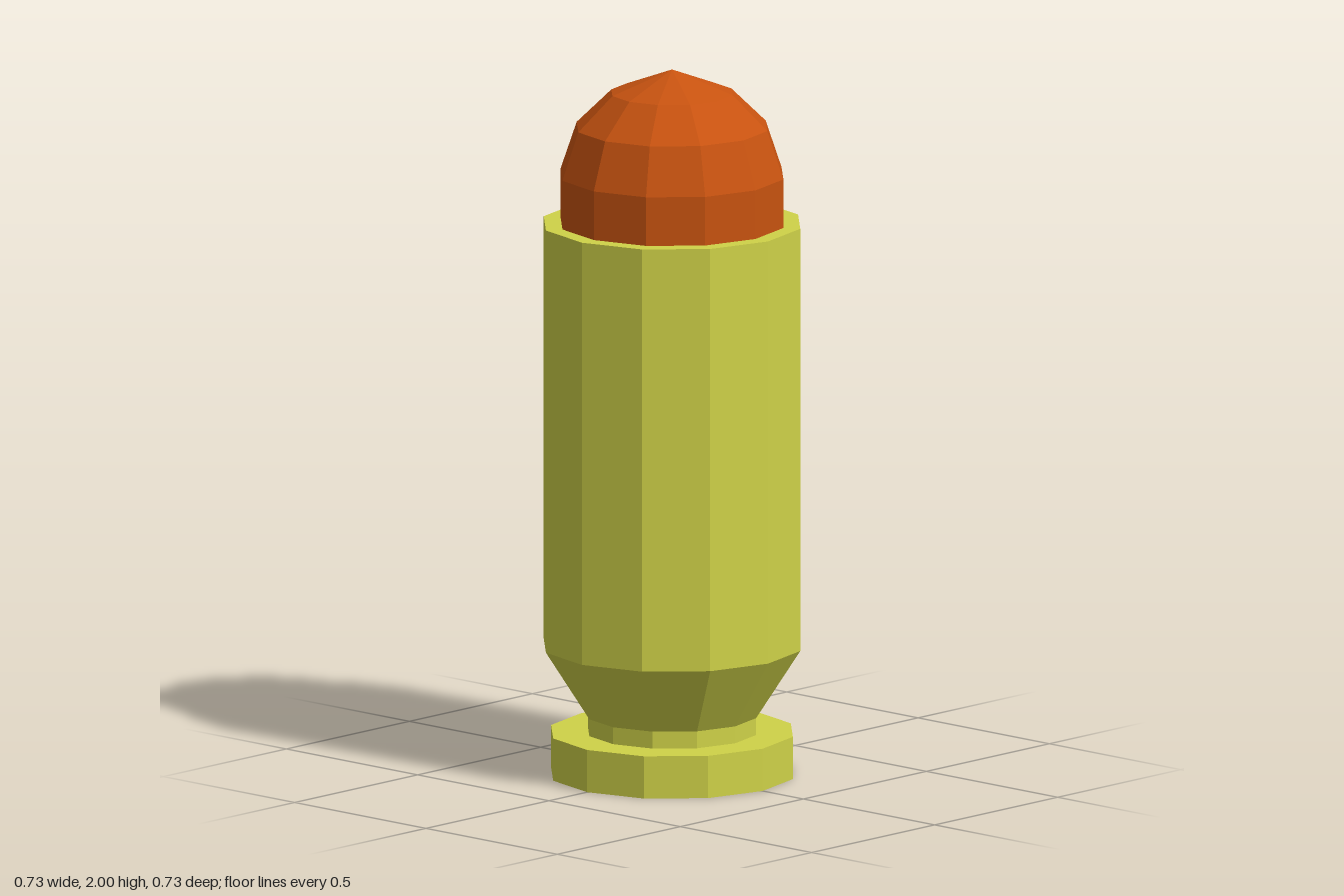
import * as THREE from 'three';

const SIDES = 12;

// Faceted solid of revolution; profile runs from bottom to top
function turned(name, profile, material) {
  const points = profile.map(([r, y]) => new THREE.Vector2(r, y));
  const geometry = new THREE.LatheGeometry(points, SIDES).toNonIndexed();
  geometry.computeVertexNormals();
  const mesh = new THREE.Mesh(geometry, material);
  mesh.name = name;
  return mesh;
}

export function createModel() {
  const brass = new THREE.MeshStandardMaterial({ name: 'brass', color: 0xcfd248 });
  const copper = new THREE.MeshStandardMaterial({ name: 'copper', color: 0xc85310 });

  const group = new THREE.Group();
  group.name = 'cartridge';

  // Base disc with its upper ledge
  group.add(turned('rim', [[0, 0], [0.345, 0], [0.345, 0.12], [0.24, 0.12]], brass));

  // Narrow groove, flared shoulder, straight wall and top lip
  group.add(turned('casing', [
    [0.24, 0.12], [0.24, 0.168], [0.366, 0.365], [0.366, 1.565], [0.318, 1.565],
  ], brass));

  // Rounded tip seated in the casing
  group.add(turned('tip', [
    [0.318, 1.565], [0.318, 1.703], [0.272, 1.838], [0.173, 1.935], [0, 2],
  ], copper));

  return group;
}
